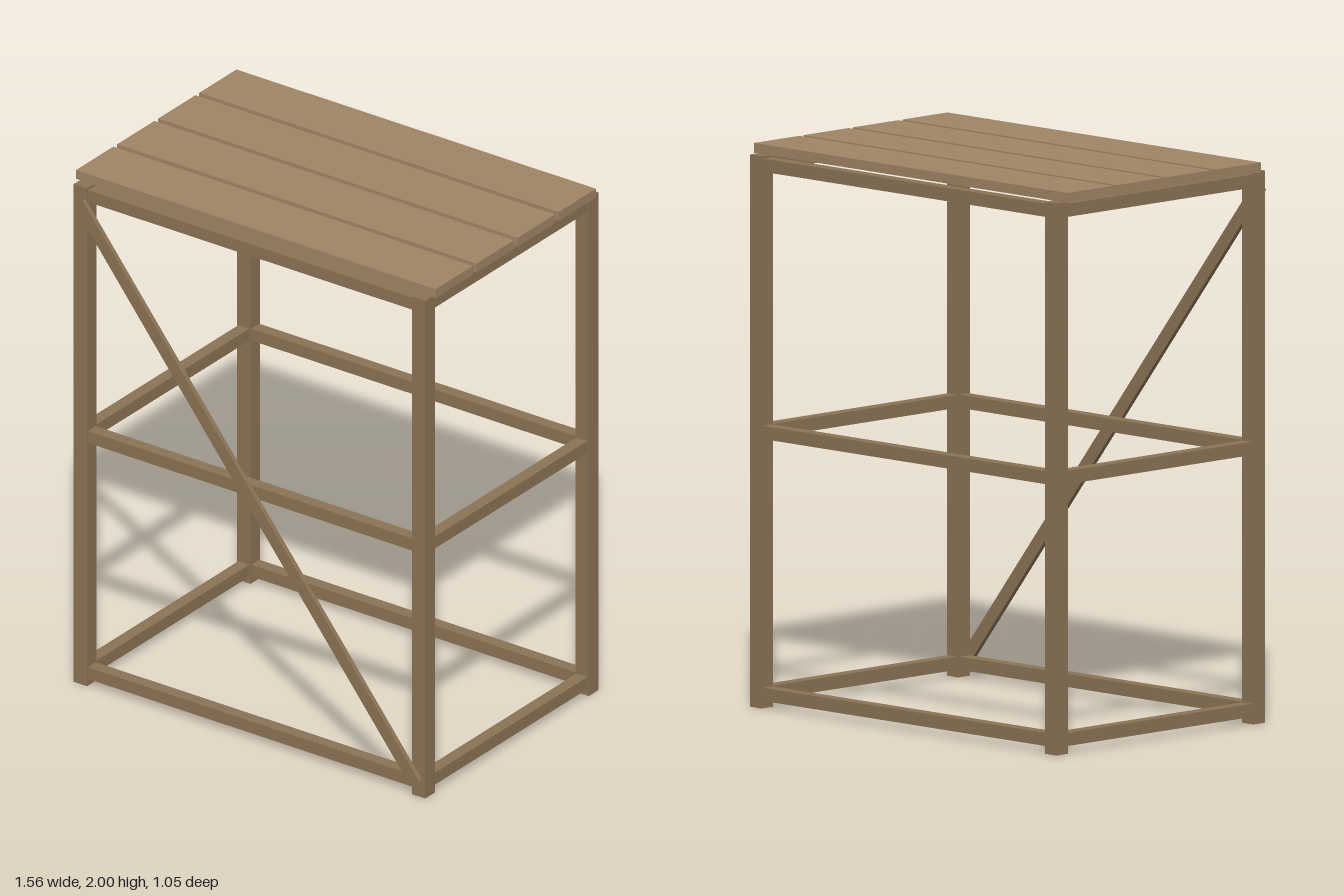
import * as THREE from 'three';

const frameMat = new THREE.MeshStandardMaterial({ color: 0x8b7355 });
const slatMat = new THREE.MeshStandardMaterial({ color: 0xa08566 });

function addBox(parent, name, size, position, material = frameMat) {
  const mesh = new THREE.Mesh(new THREE.BoxGeometry(...size), material);
  mesh.name = name;
  mesh.position.set(...position);
  parent.add(mesh);
  return mesh;
}

export function createModel() {
  const model = new THREE.Group();
  model.name = 'slattedStand';

  // The frame sits slightly back, leaving room for the brace in front
  const frame = new THREE.Group();
  frame.name = 'frame';
  frame.position.z = -0.009;
  model.add(frame);

  const post = 0.058, postH = 1.965, rail = 0.047;
  const px = 0.735, pz = 0.488;

  // Corner posts
  for (const sx of [-1, 1])
    for (const sz of [-1, 1])
      addBox(frame, 'post', [post, postH, post], [sx * px, postH / 2, sz * pz]);

  // Three levels of rails fitted between the posts
  for (const y of [0.05, 0.982, 1.933])
    for (const s of [-1, 1]) {
      addBox(frame, 'longRail', [2 * px - post, rail, rail], [0, y, s * pz]);
      addBox(frame, 'sideRail', [rail, rail, 2 * pz - post], [s * px, y, 0]);
    }

  // Top slats
  for (let i = 0; i < 4; i++)
    addBox(frame, 'topSlat', [1.562, 2 - postH, 0.223], [0, (2 + postH) / 2, (i - 1.5) * 0.245], slatMat);

  // Diagonal brace across the front faces of the posts
  const dx = 1.464, dy = -1.853;
  const brace = addBox(model, 'diagonalBrace', [Math.hypot(dx, dy), 0.048, 0.018], [0, 0.982, 0.517]);
  brace.rotation.z = Math.atan2(dy, dx);

  return model;
}
